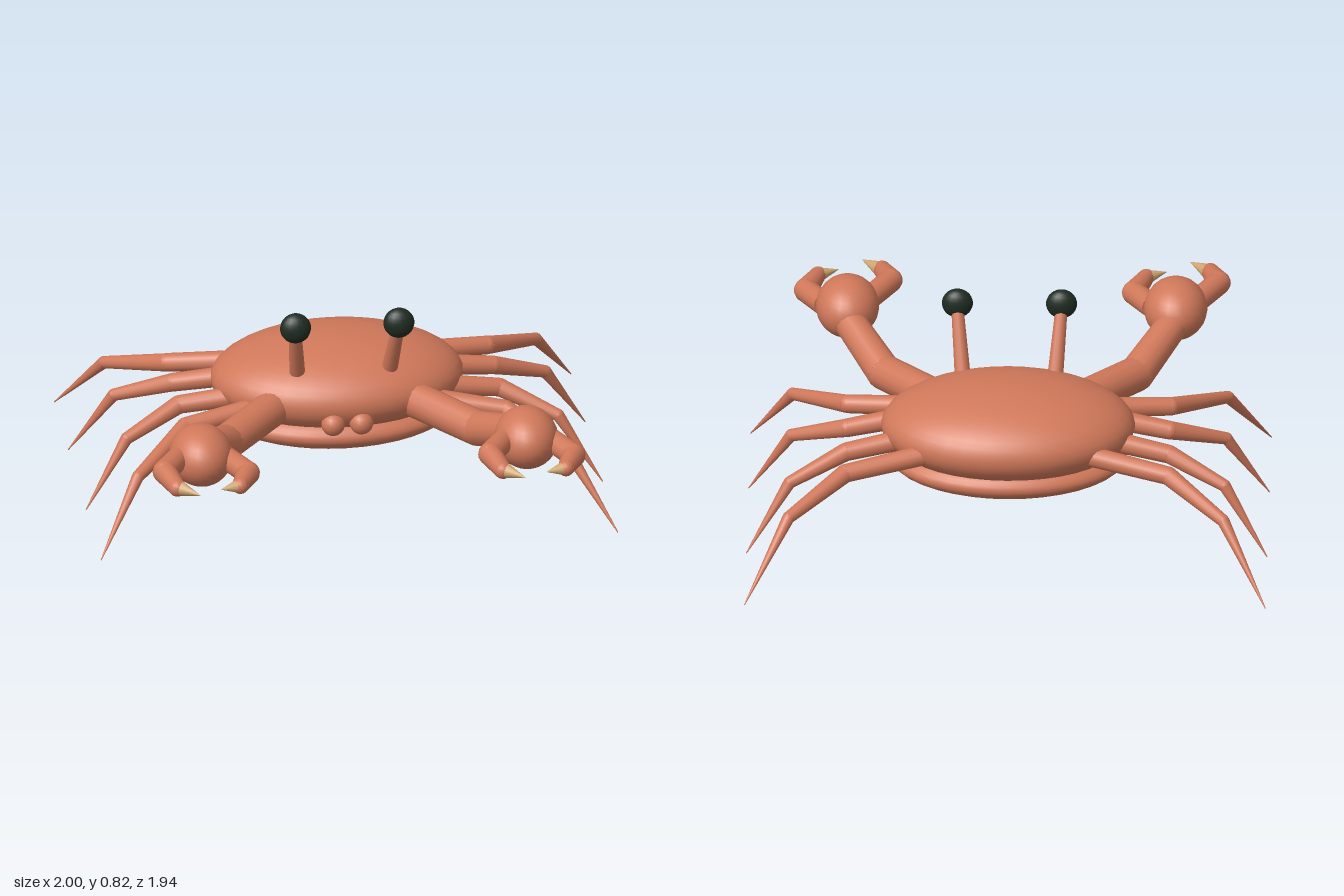
import * as THREE from 'three';

const shellMat = new THREE.MeshStandardMaterial({ color: 0xd0785a });
shellMat.name = 'coral shell';
const eyeMat = new THREE.MeshStandardMaterial({ color: 0x1f2b22 });
eyeMat.name = 'dark eye';
const tipMat = new THREE.MeshStandardMaterial({ color: 0xd2a873 });
tipMat.name = 'tan claw tip';

function ellipsoid(name, mat, center, radii, segments = 24) {
  const mesh = new THREE.Mesh(new THREE.SphereGeometry(1, segments, Math.round(segments * 0.7)), mat);
  mesh.name = name;
  mesh.position.set(...center);
  mesh.scale.set(...radii);
  return mesh;
}

// Tapered round bar between two points
function bar(name, mat, a, b, ra, rb) {
  const from = new THREE.Vector3(...a);
  const dir = new THREE.Vector3(...b).sub(from);
  const mesh = new THREE.Mesh(new THREE.CylinderGeometry(rb, ra, dir.length(), 14), mat);
  mesh.name = name;
  mesh.position.copy(from).addScaledVector(dir, 0.5);
  mesh.quaternion.setFromUnitVectors(new THREE.Vector3(0, 1, 0), dir.normalize());
  return mesh;
}

// Chain of tapered bars with a ball at each inner joint
function limb(name, points, radii) {
  const group = new THREE.Group();
  group.name = name;
  for (let i = 0; i < points.length - 1; i++) {
    group.add(bar(name + 'Segment', shellMat, points[i], points[i + 1], radii[i], radii[i + 1]));
    if (i > 0) group.add(ellipsoid(name + 'Joint', shellMat, points[i], [radii[i], radii[i], radii[i]], 14));
  }
  return group;
}

// Palm and two pincers; both claws share the same handedness
function claw(cx) {
  const group = new THREE.Group();
  group.name = 'claw';
  group.add(ellipsoid('palm', shellMat, [0, 0.49, 0.59], [0.122, 0.117, 0.15]));
  const longEnd = [-0.128, 0.495, 0.885];
  group.add(limb('longPincer', [[-0.08, 0.505, 0.62], [-0.163, 0.51, 0.765], longEnd], [0.045, 0.046, 0.034]));
  group.add(ellipsoid('longPincerKnuckle', shellMat, longEnd, [0.034, 0.034, 0.034], 14));
  group.add(bar('longPincerTip', tipMat, [-0.128, 0.495, 0.88], [-0.05, 0.495, 0.965], 0.034, 0.001));
  const shortEnd = [0.118, 0.48, 0.865];
  group.add(limb('shortPincer', [[0.09, 0.485, 0.61], [0.163, 0.475, 0.745], shortEnd], [0.045, 0.046, 0.032]));
  group.add(ellipsoid('shortPincerKnuckle', shellMat, shortEnd, [0.032, 0.032, 0.032], 14));
  group.add(bar('shortPincerTip', tipMat, [0.122, 0.48, 0.862], [0.04, 0.485, 0.9], 0.032, 0.001));
  group.position.x = cx;
  return group;
}

export function createModel() {
  const crab = new THREE.Group();
  crab.name = 'crab';

  // Body: domed upper shell over a flatter belly
  crab.add(ellipsoid('upperShell', shellMat, [0, 0.41, -0.235], [0.488, 0.176, 0.345], 36));
  crab.add(ellipsoid('belly', shellMat, [0, 0.277, -0.228], [0.457, 0.102, 0.322], 36));

  // Each leg, back to front: z at hip, knee, shin and tip, and x of the hip
  const legs = [
    [-0.45, -0.54, -0.75, -0.97, 0.32],
    [-0.32, -0.36, -0.455, -0.54, 0.4],
    [-0.135, -0.16, -0.06, 0.003, 0.4],
    [-0.04, 0.04, 0.285, 0.46, 0.3],
  ];

  for (const s of [1, -1]) {
    for (const [hip, knee, shin, tip, hipX] of legs) {
      crab.add(limb('leg',
        [[s * hipX, 0.385, hip], [s * 0.62, 0.35, knee], [s * 0.835, 0.265, shin], [s * 1, 0.002, tip]],
        [0.04, 0.036, 0.024, 0.002]));
    }

    // Arm and claw
    crab.add(limb('arm',
      [[s * 0.27, 0.395, 0], [s * 0.485, 0.378, 0.255], [s * 0.62, 0.47, 0.49]],
      [0.07, 0.069, 0.062]));
    crab.add(claw(s * 0.63));

    // Eye on its stalk
    crab.add(bar('eyeStalk', shellMat, [s * 0.175, 0.48, -0.045], [s * 0.2, 0.75, 0.08], 0.032, 0.024));
    const eye = ellipsoid('eye', eyeMat, [s * 0.2, 0.765, 0.088], [0.06, 0.06, 0.042], 18);
    eye.rotation.x = -0.08;
    crab.add(eye);

    // Mouth bump
    crab.add(ellipsoid('mouthBump', shellMat, [s * 0.055, 0.35, 0.09], [0.046, 0.046, 0.046], 16));
  }
  return crab;
}
